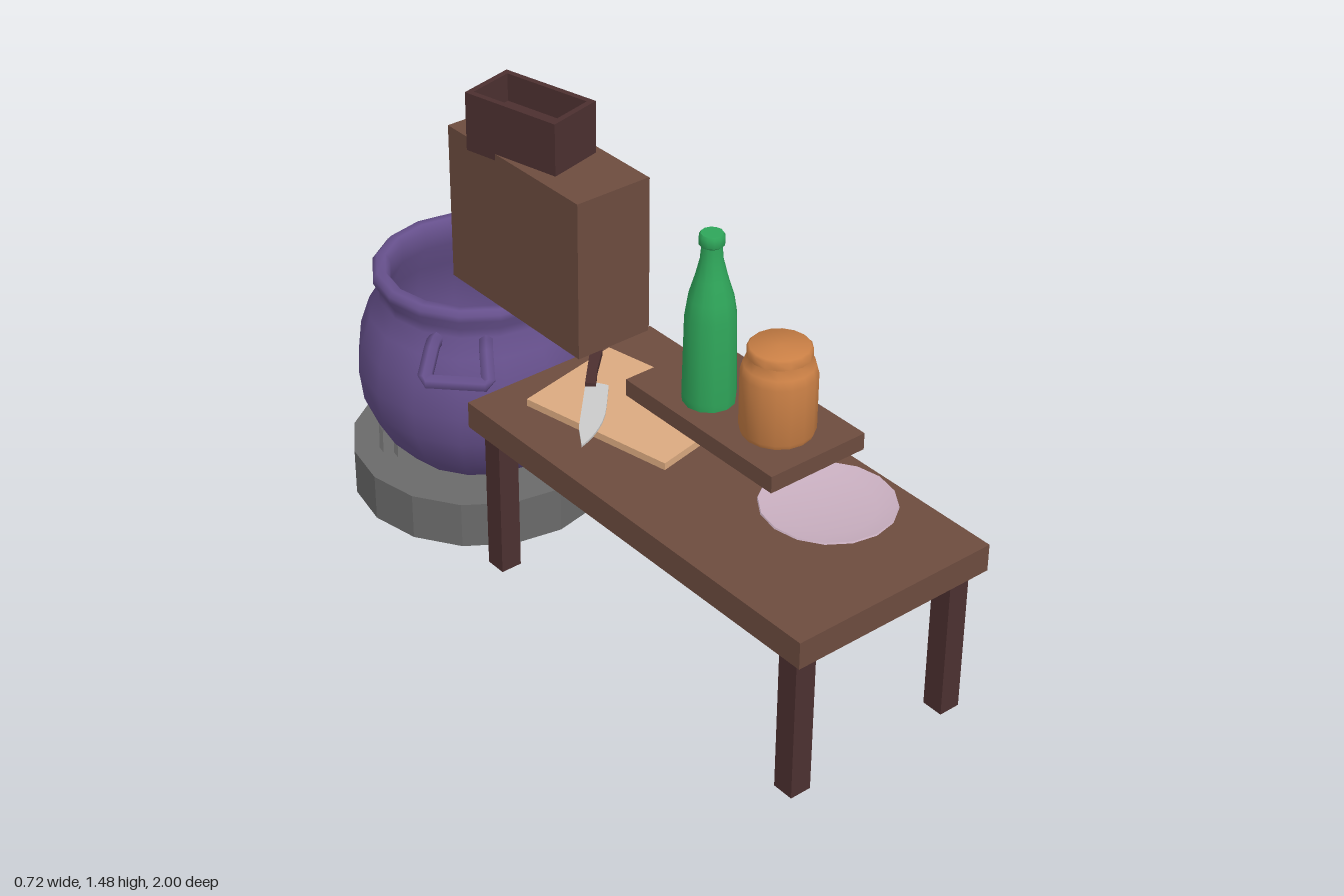
import * as THREE from 'three';
import { toCreasedNormals } from 'three/addons/utils/BufferGeometryUtils.js';

const mat = (color) => new THREE.MeshStandardMaterial({ color });
const wood = mat(0x6d4c3f), darkWood = mat(0x4c3030), stone = mat(0x6a6a6a), purple = mat(0x66508c);
const glass = mat(0x2fa65a), clay = mat(0xc97f45), boardWood = mat(0xdbaa80), china = mat(0xc9afc0), steel = mat(0xcccccc);

function add(parent, name, geometry, material, x = 0, y = 0, z = 0) {
  const mesh = new THREE.Mesh(geometry, material);
  mesh.name = name;
  mesh.position.set(x, y, z);
  parent.add(mesh);
  return mesh;
}

function group(parent, name, x = 0, y = 0, z = 0, turn = 0) {
  const g = new THREE.Group();
  g.name = name;
  g.position.set(x, y, z);
  g.rotation.y = turn;
  parent.add(g);
  return g;
}

// Box given by its lower and upper limits on each axis
function slab(parent, name, material, [x0, x1], [y0, y1], [z0, z1]) {
  return add(parent, name, new THREE.BoxGeometry(x1 - x0, y1 - y0, z1 - z0), material,
    (x0 + x1) / 2, (y0 + y1) / 2, (z0 + z1) / 2);
}

// Turned part from [radius, height] pairs
function turned(points, sides, crease = 0.9) {
  const profile = points.map(([r, y]) => new THREE.Vector2(r, y));
  return toCreasedNormals(new THREE.LatheGeometry(profile, sides), crease);
}

export function createModel() {
  const root = new THREE.Group();
  root.name = 'kitchen';

  // Table
  const table = group(root, 'table');
  slab(table, 'tableTop', wood, [-0.3, 0.3], [0.465, 0.54], [-0.27, 1]);
  for (const x of [-0.245, 0.245])
    for (const z of [-0.205, 0.935])
      add(table, 'tableLeg', new THREE.BoxGeometry(0.06, 0.42, 0.06), darkWood, x, 0.255, z);

  // Round stone hearth with a stepped hollow
  add(root, 'hearth', turned([[0, 0], [0.36, 0], [0.36, 0.135], [0.29, 0.135], [0.28, 0.11],
    [0.25, 0.11], [0.24, 0.08], [0, 0.08]], 16, 0.3), stone, 0, 0, -0.64);

  // Cauldron
  const cauldron = group(root, 'cauldron', 0, 0, -0.643);
  add(cauldron, 'cauldronBody', turned([[0, 0.07], [0.13, 0.08], [0.22, 0.135], [0.285, 0.21],
    [0.322, 0.3], [0.332, 0.385], [0.322, 0.47], [0.295, 0.55], [0.265, 0.6], [0.264, 0.625],
    [0.28, 0.655], [0.28, 0.672], [0.268, 0.685], [0.245, 0.685], [0.232, 0.668], [0.235, 0.61],
    [0.27, 0.53], [0.295, 0.4], [0.28, 0.27], [0.2, 0.16], [0, 0.11]], 16, 1.2), purple);
  // Sloping loop handles: root, outer bar, root
  for (const turn of [Math.PI / 4, Math.PI * 5 / 4]) {
    const path = new THREE.CurvePath();
    const pts = [[0.25, 0.585, -0.065], [0.285, 0.59, -0.07], [0.35, 0.515, -0.085],
      [0.35, 0.515, 0.085], [0.285, 0.59, 0.07], [0.25, 0.585, 0.065]].map((p) => new THREE.Vector3(...p));
    for (let i = 1; i < pts.length; i++) path.add(new THREE.LineCurve3(pts[i - 1], pts[i]));
    const handle = add(cauldron, 'cauldronHandle', new THREE.TubeGeometry(path, 28, 0.021, 6), purple);
    handle.rotation.y = turn;
  }

  // Plate
  add(root, 'plate', turned([[0, 0.54], [0.13, 0.54], [0.172, 0.553], [0.17, 0.557], [0.12, 0.547], [0, 0.547]], 16),
    china, 0.105, 0, 0.648);

  // Cutting board
  const board = add(root, 'cuttingBoard', new THREE.BoxGeometry(0.325, 0.02, 0.453), boardWood, 0.013, 0.55, 0.026);
  board.rotation.y = 0.2;

  // Knife lying on the board, blade along local +x
  const knife = group(root, 'knife', -0.03, 0.561, -0.105, -2.317);
  const blade = new THREE.Shape();
  blade.moveTo(-0.01, -0.014);
  blade.lineTo(0.2, -0.014);
  blade.lineTo(0.28, 0);
  blade.quadraticCurveTo(0.2, 0.05, 0.1, 0.048);
  blade.lineTo(0, 0.046);
  blade.lineTo(-0.01, 0.014);
  const bladeGeo = new THREE.ExtrudeGeometry(blade, { depth: 0.006, bevelEnabled: false, curveSegments: 6 });
  bladeGeo.rotateX(-Math.PI / 2);
  add(knife, 'knifeBlade', bladeGeo, steel, 0, 0.002, 0);
  const grip = new THREE.Shape();
  [[0.01, -0.014], [0.01, 0.014], [-0.06, 0.012], [-0.16, 0.018], [-0.168, 0.006], [-0.165, -0.014]]
    .forEach(([x, y], i) => (i ? grip.lineTo(x, y) : grip.moveTo(x, y)));
  const gripGeo = new THREE.ExtrudeGeometry(grip, { depth: 0.018, bevelEnabled: false });
  gripGeo.rotateX(-Math.PI / 2);
  add(knife, 'knifeHandle', gripGeo, darkWood);

  // Wall cabinet with two doors facing the room
  const cabinet = group(root, 'cabinet');
  slab(cabinet, 'cabinetBody', wood, [-0.33, -0.12], [0.93, 1.345], [-0.268, 0.236]);
  slab(cabinet, 'cabinetDoor', wood, [-0.12, -0.112], [0.937, 1.338], [-0.261, -0.019]);
  slab(cabinet, 'cabinetDoor', wood, [-0.12, -0.112], [0.937, 1.338], [-0.011, 0.229]);

  // Open crate resting on the cabinet
  const crate = group(root, 'crate', -0.245, 1.328, -0.05, 0.236);
  slab(crate, 'crateFloor', darkWood, [-0.076, 0.076], [0, 0.08], [-0.135, 0.135]);
  for (const s of [-1, 1]) {
    add(crate, 'crateSide', new THREE.BoxGeometry(0.015, 0.072, 0.27), darkWood, s * 0.0685, 0.116, 0);
    add(crate, 'crateEnd', new THREE.BoxGeometry(0.122, 0.072, 0.015), darkWood, 0, 0.116, s * 0.1275);
  }

  // Shelf with bottle and jar
  slab(root, 'shelf', wood, [-0.34, -0.065], [0.93, 0.973], [0.425, 0.93]);
  add(root, 'bottle', turned([[0, 0], [0.062, 0], [0.064, 0.02], [0.06, 0.225], [0.053, 0.27], [0.038, 0.32],
    [0.027, 0.365], [0.024, 0.4], [0.03, 0.405], [0.03, 0.425], [0.026, 0.432], [0, 0.432]], 12),
    glass, -0.243, 0.973, 0.605);
  add(root, 'jar', turned([[0, 0], [0.083, 0], [0.088, 0.012], [0.088, 0.155], [0.082, 0.177], [0.066, 0.192], [0.066, 0.197],
    [0.074, 0.199], [0.074, 0.217], [0.069, 0.222], [0, 0.222]], 16), clay, -0.206, 0.973, 0.797);

  return root;
}
